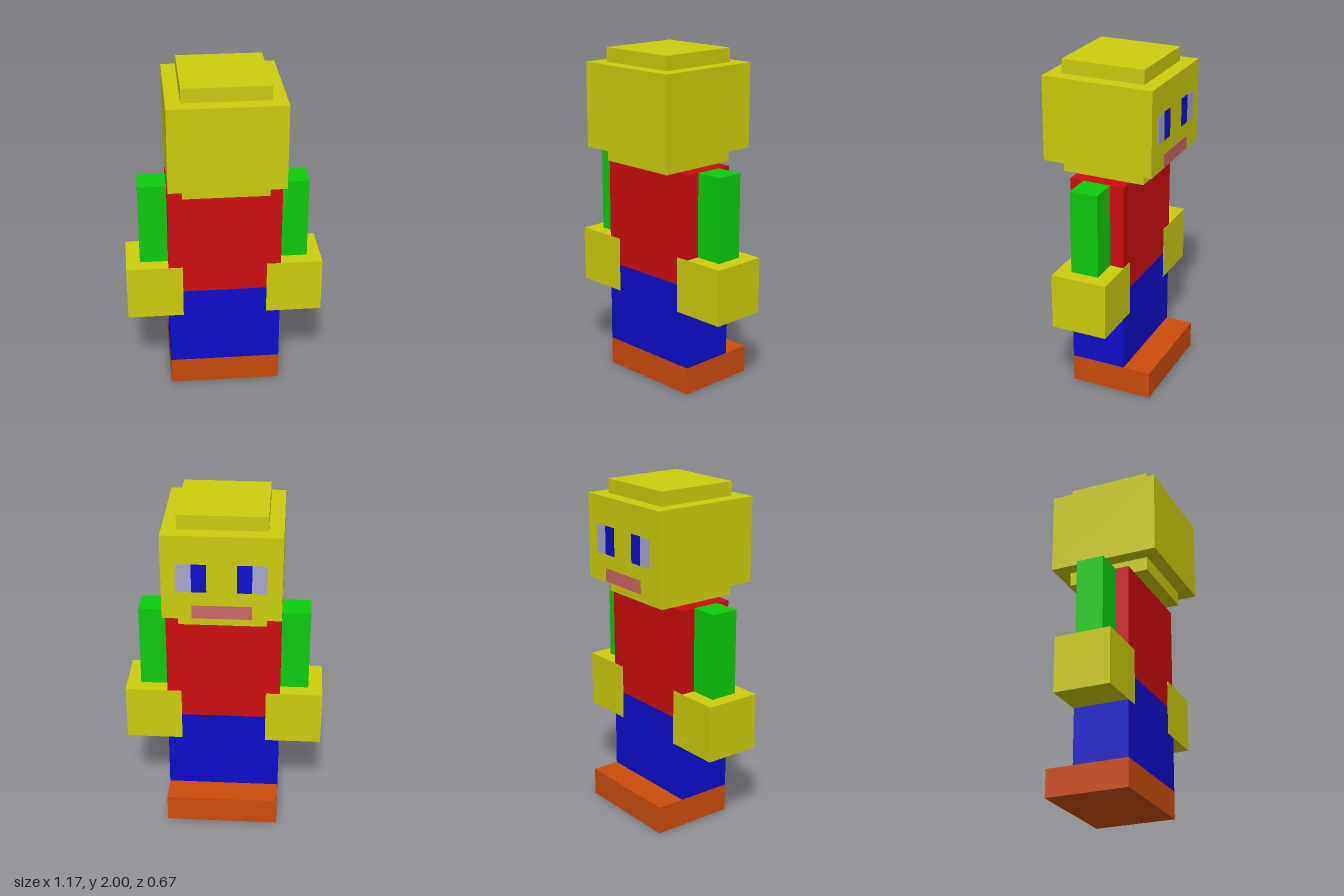
import * as THREE from 'three';

const U = 1 / 12; // block unit: the figure is 24 units tall

const paint = (name, color) => {
  const m = new THREE.MeshStandardMaterial({ color });
  m.name = name;
  return m;
};

export function createModel() {
  const skin = paint('skin yellow', 0xcccc0d);
  const red = paint('shirt red', 0xcc0d0d);
  const green = paint('sleeve green', 0x0dcc0d);
  const blue = paint('trouser blue', 0x0d0dcc);
  const brown = paint('shoe brown', 0xcc4c0d);
  const eyeGrey = paint('eye pale grey', 0xa6a6cc);
  const pink = paint('mouth pink', 0xcc6666);

  const figure = new THREE.Group();
  figure.name = 'blockFigure';

  // Box from its lower and upper corners, in block units
  const block = (name, material, [x0, y0, z0], [x1, y1, z1], parent = figure) => {
    const geometry = new THREE.BoxGeometry((x1 - x0) * U, (y1 - y0) * U, (z1 - z0) * U);
    const mesh = new THREE.Mesh(geometry, material);
    mesh.position.set((x0 + x1) * U / 2, (y0 + y1) * U / 2, (z0 + z1) * U / 2);
    mesh.name = name;
    parent.add(mesh);
    return mesh;
  };

  // Body; the shoes and the face point towards -z
  block('shoes', brown, [-4, 0, -4], [4, 2, 2]);
  block('legs', blue, [-4, 2, -2], [4, 8, 2]);
  block('torso', red, [-4, 8, -2], [4, 16, 2]);

  // Head
  const head = new THREE.Group();
  head.name = 'head';
  figure.add(head);
  block('neck', skin, [-3, 16, -3], [3, 17, 3], head);
  block('skull', skin, [-4, 17, -4], [4, 23, 4], head);
  block('crown', skin, [-3, 23, -3], [3, 24, 3], head);

  // Thin face plates
  const plate = (name, material, x0, x1, y0, y1) =>
    block(name, material, [x0, y0, -4.03], [x1, y1, -3.98], head);
  plate('mouth', pink, -2, 2, 17.05, 18);

  // Mirrored arms, hands and eyes
  for (const [side, s] of [['left', 1], ['right', -1]]) {
    const span = (a, b) => (s > 0 ? [a, b] : [-b, -a]);
    const [a0, a1] = span(4, 6);
    block(side + 'Arm', green, [a0, 10, -1], [a1, 16, 1]);
    // Hands stand a hair proud of the torso they overlap
    const [h0, h1] = span(3, 7);
    block(side + 'Hand', skin, [h0, 6, -2.02], [h1, 10, 2.02]);
    plate(side + 'Pupil', blue, ...span(1, 2), 19, 21);
    plate(side + 'EyeWhite', eyeGrey, ...span(2, 3), 19, 21);
  }

  return figure;
}
